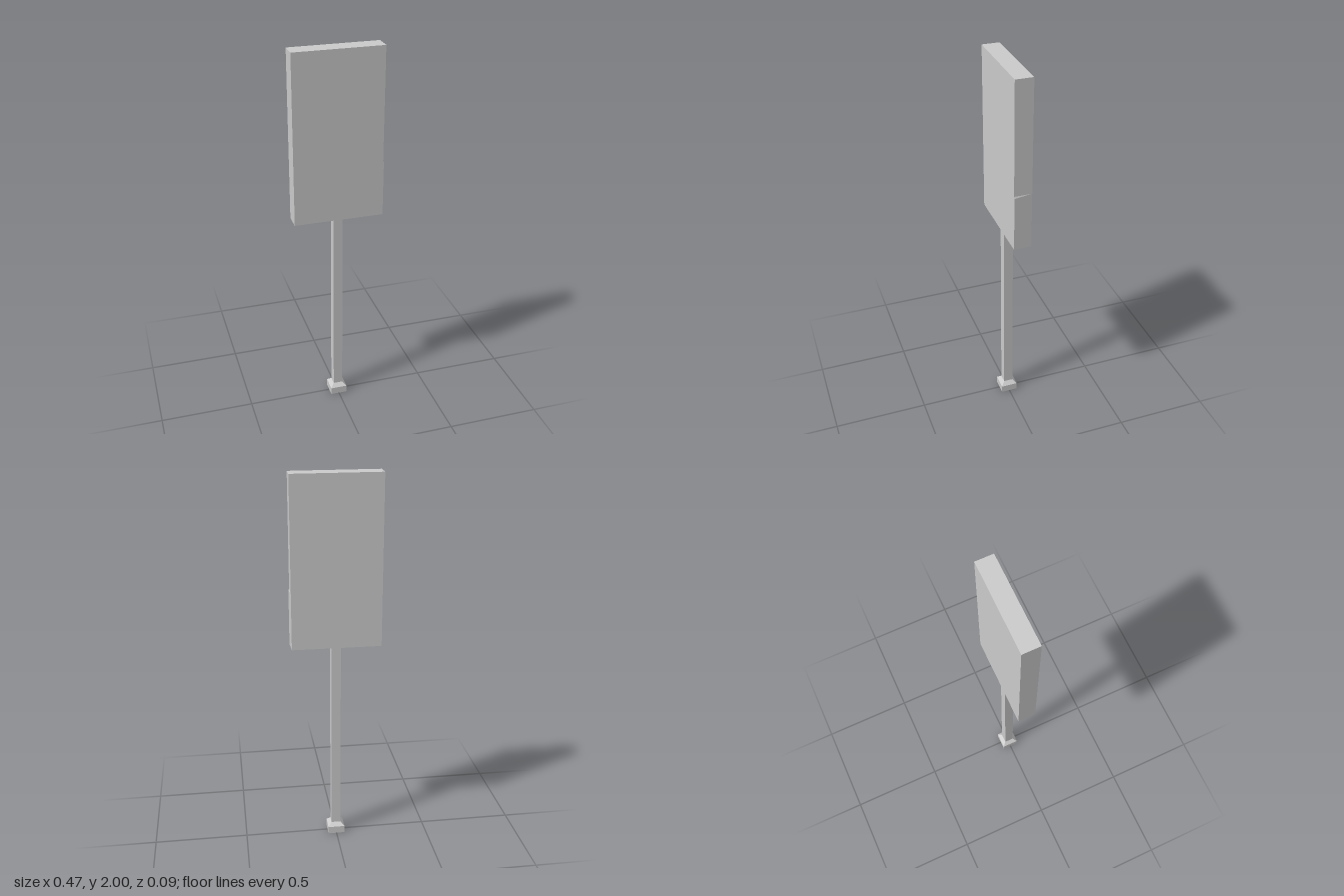
import * as THREE from 'three';

const grey = new THREE.MeshStandardMaterial({ color: 0xcccccc, flatShading: true, side: THREE.DoubleSide });

// Square open shell from [halfWidth, y] pairs, listed bottom to top
function squareShell(name, profile) {
  const points = profile.map(([half, y]) => new THREE.Vector2(half * Math.SQRT2, y));
  const mesh = new THREE.Mesh(new THREE.LatheGeometry(points, 4, Math.PI / 4), grey);
  mesh.name = name;
  return mesh;
}

// Flat panel whose lower front left edge is pushed out slightly
function signPanel() {
  const bottom = 1.11, top = 2, left = 0.231, right = -0.235, front = 0.045, back = -0.047;
  const geometry = new THREE.BoxGeometry(left - right, top - bottom, front - back, 1, 3, 1);
  geometry.translate((left + right) / 2, (top + bottom) / 2, (front + back) / 2);
  const rows = [bottom, 1.4, 1.41, top];
  const pos = geometry.attributes.position;
  for (let i = 0; i < pos.count; i++) {
    const row = Math.round((pos.getY(i) - bottom) / (top - bottom) * 3);
    pos.setY(i, rows[row]);
    if (row < 2 && pos.getX(i) > 0 && pos.getZ(i) > 0) pos.setX(i, 0.235);
  }
  geometry.computeVertexNormals();
  const mesh = new THREE.Mesh(geometry, grey);
  mesh.name = 'signPanel';
  return mesh;
}

export function createModel() {
  const group = new THREE.Group();
  group.name = 'signPost';
  group.add(
    squareShell('foot', [[0.045, 0], [0.045, 0.04], [0.025, 0.06]]),
    squareShell('post', [[0.025, 0.06], [0.025, 1.11]]),
    signPanel()
  );
  return group;
}
